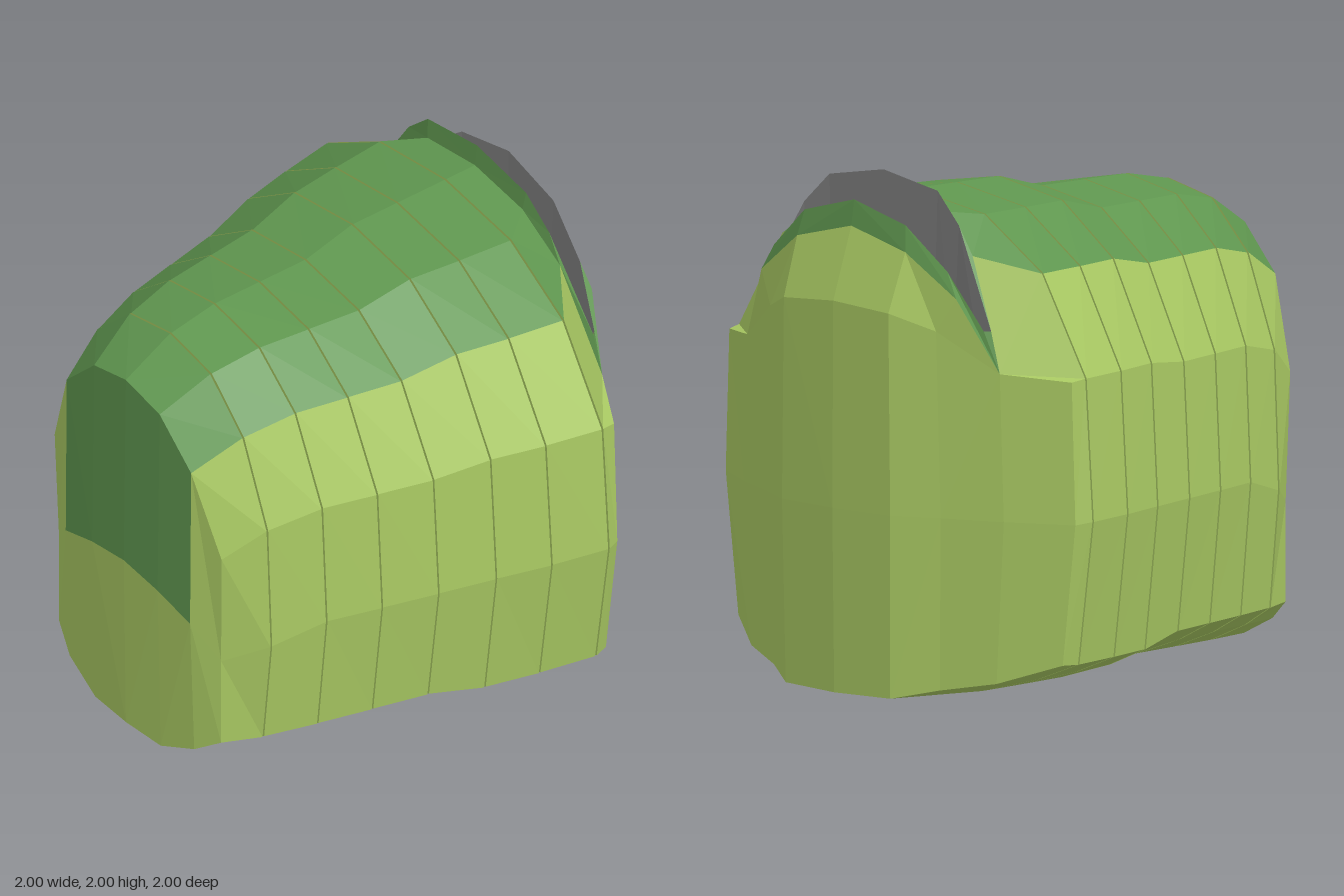
import * as THREE from 'three';

const LIGHT = 0xa8c862, DARK = 0x5f964f, GREY = 0x808080;

// Collects mirrored quad strips between pairs of half polylines (x >= 0)
class Shell {
  constructor() { this.pos = []; }
  tri(a, b, c) {
    const m = p => [-p[0], p[1], p[2]];
    this.pos.push(...a, ...b, ...c, ...m(a), ...m(c), ...m(b));
  }
  strip(a, b) {
    for (let i = 0; i < a.length - 1; i++) {
      this.tri(a[i], a[i + 1], b[i + 1]);
      this.tri(a[i], b[i + 1], b[i]);
    }
    return this;
  }
  loft(...lines) {
    for (let i = 0; i < lines.length - 1; i++) this.strip(lines[i], lines[i + 1]);
    return this;
  }
  mesh(name, color) {
    const g = new THREE.BufferGeometry();
    g.setAttribute('position', new THREE.Float32BufferAttribute(this.pos, 3));
    g.computeVertexNormals();
    const mat = new THREE.MeshStandardMaterial({ color, flatShading: true, side: THREE.DoubleSide });
    const mesh = new THREE.Mesh(g, mat);
    mesh.name = name;
    return mesh;
  }
}

// Half cross-section from top centre, around the side, to bottom centre
function section(s, z) {
  const { w, y } = s;
  const xs = [0, 0.4, 0.72, 0.96, 1, 0.92, 0.7, 0.39, 0];
  return xs.map((x, i) => [x * w, y[i], z]);
}
const repeat = (p, n) => Array.from({ length: n }, () => p);

export function createModel() {
  const group = new THREE.Group();

  const nose = [1.81, 1.76, 1.57, 1.21, 0.67, 0.21, 0.13, 0.05, 0.05];
  const mid = [1.85, 1.80, 1.615, 1.255, 0.73, 0.21, 0.13, 0.05, 0.05];
  const rear = [1.91, 1.855, 1.66, 1.28, 0.73, 0.17, 0.09, 0.01, 0.005];
  const stations = [
    { z: 0.77, w: 0.615, y: nose }, { z: 0.555, w: 0.685, y: mid },
    { z: 0.335, w: 0.75, y: mid }, { z: 0.11, w: 0.815, y: mid },
    { z: -0.12, w: 0.88, y: rear }, { z: -0.34, w: 0.945, y: rear },
    { z: -0.575, w: 1, y: rear },
  ];
  const gap = 0.004;

  // Body rings: dark back band, light sides and belly, closed ends
  for (let i = 0; i < stations.length - 1; i++) {
    const za = stations[i].z - gap, zb = stations[i + 1].z + gap;
    const a = section(stations[i], za), b = section(stations[i + 1], zb);
    const side = new Shell().strip(a.slice(2), b.slice(2));
    side.strip(repeat([0, 0.9, za], 9), a).strip(b, repeat([0, 0.9, zb], 9));
    group.add(
      new Shell().strip(a.slice(0, 3), b.slice(0, 3)).mesh('ringTop' + (i + 1), DARK),
      side.mesh('ringSides' + (i + 1), LIGHT));
  }

  // Front end: bevelled rim with a dark panel over a light lower face
  const f = [
    [0, 1.69, 0.99], [0.2, 1.64, 0.985], [0.38, 1.46, 0.975], [0.51, 1.1, 0.93],
    [0.495, 0.6, 0.92], [0.495, 0.21, 0.92], [0.38, 0.13, 0.96], [0.2, 0.05, 0.98], [0, 0.05, 0.99],
  ];
  const split = [[0, 0.83, 1], [0.2, 0.8, 0.995], [0.38, 0.74, 0.98]];
  const fz = stations[0].z + gap, fb = section(stations[0], fz);
  group.add(
    new Shell().strip(f.slice(0, 3), fb.slice(0, 3)).strip(split, f.slice(0, 3)).mesh('frontPanel', DARK),
    new Shell().strip(f.slice(2), fb.slice(2))
      .strip([f[8], f[7], f[6]], split)
      .strip([f[2], split[2], f[6]], [f[3], f[4], f[5]])
      .strip(fb, repeat([0, 0.9, fz], 9)).mesh('frontEnd', LIGHT));

  // Rear end: raised front lip, lower back lip and a slot between them
  const sz = -0.575 - gap, s = section(stations[6], sz);
  const lipBase = [[0, 1.91, -0.72], [0.29, 1.87, -0.72], [0.5, 1.72, -0.735], [0.7, 1.29, -0.782]];
  const lip = [[0, 2, -0.73], [0.3, 1.95, -0.73], [0.43, 1.83, -0.74], [0.65, 1.45, -0.78]];
  const backLip = [[0, 1.9, -0.885], [0.28, 1.83, -0.88], [0.48, 1.67, -0.85], [0.63, 1.45, -0.8]];
  const backBase = [[0, 1.8, -0.9], [0.3, 1.73, -0.9], [0.54, 1.57, -0.86], [0.7, 1.29, -0.782]];

  // Rear wall columns, each from top to bottom, from the side to the centre
  const cols = [
    [[0.95, 1.27, -0.64], [0.97, 0.72, -0.64], [0.9, 0.17, -0.64]],
    [[0.7, 1.29, -0.782], [0.72, 0.72, -0.78], [0.68, 0.09, -0.78]],
    [[0.46, 1.44, -0.89], [0.48, 0.72, -0.885], [0.46, 0.05, -0.87]],
    [[0.29, 1.5, -0.98], [0.3, 0.72, -0.98], [0.29, 0.01, -0.97]],
    [[0, 1.52, -0.995], [0, 0.72, -1], [0, 0.005, -0.99]],
  ];
  const tops = [4, 3, 2, 1].map(i => cols[i][0]);
  const wall = new Shell().loft(s.slice(3, 6), ...cols)
    .strip(backBase, tops)
    .strip([s[5], s[6], s[7], s[7], s[8]], cols.map(c => c[2]))
    .strip([s[2], s[3]], [lipBase[2], lipBase[3]])
    .strip(repeat([0, 0.9, sz], 9), s);
  wall.tri(s[3], cols[0][0], lipBase[3]);
  group.add(
    wall.mesh('rearWall', LIGHT),
    new Shell().strip(s.slice(0, 3), lipBase.slice(0, 3)).strip(lipBase, lip).mesh('frontLip', DARK),
    new Shell().strip(backLip, backBase).strip([lip[3], lipBase[3]], [backLip[3], backBase[3]])
      .mesh('backLip', DARK));

  // Hollow inside the slot
  const floorOf = line => line.map(([x, , z]) => [x * 0.92, 1.3, z]);
  group.add(new Shell().loft(lip, floorOf(lip), floorOf(backLip), backLip).mesh('slotLining', GREY));

  return group;
}
